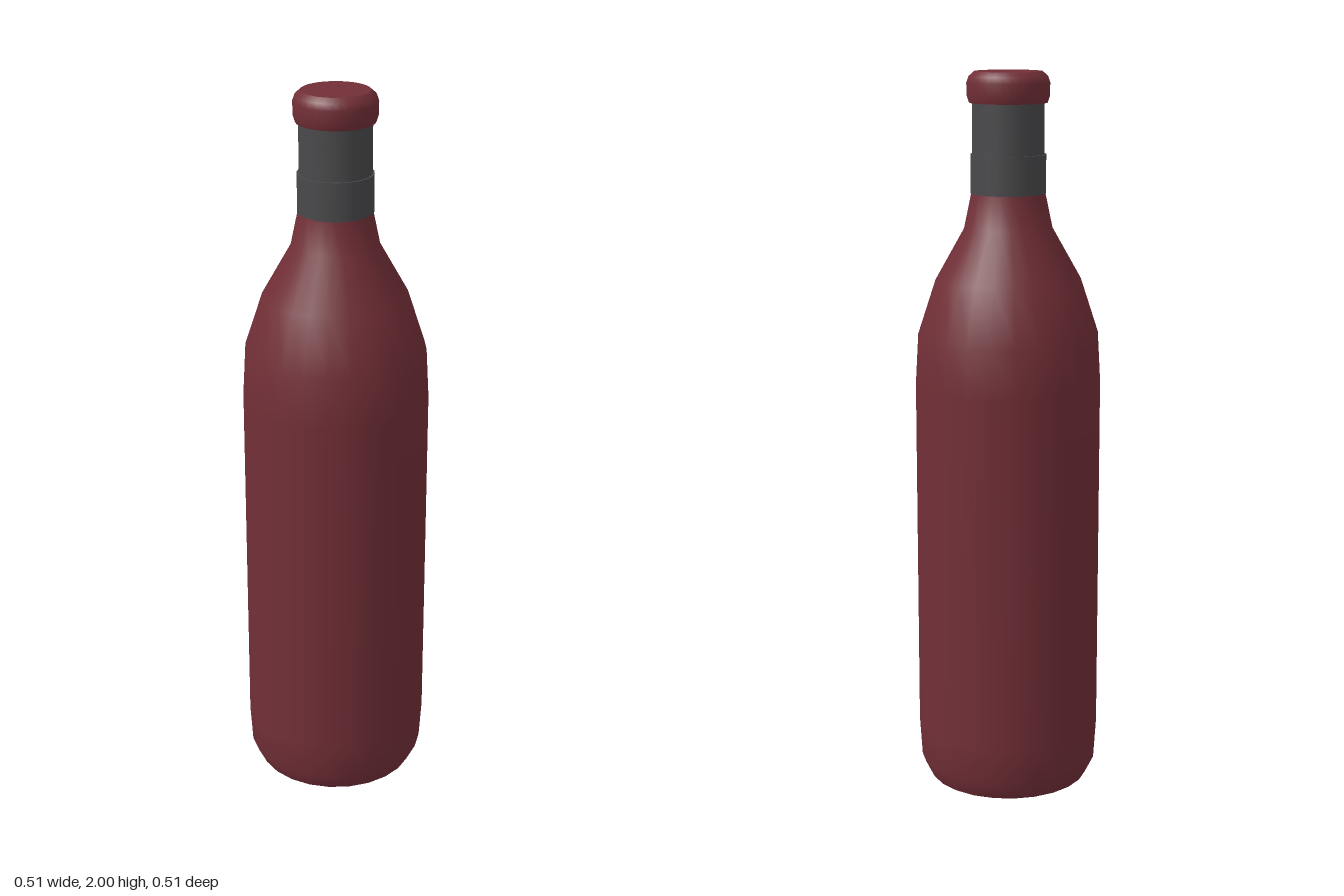
import * as THREE from 'three';

export function createModel() {
  const model = new THREE.Group();
  const wine = new THREE.MeshStandardMaterial({ name: 'wineRed', color: 0x722f37 });
  const grey = new THREE.MeshStandardMaterial({ name: 'foilGrey', color: 0x4a4a4c });

  function add(name, geometry, material) {
    const mesh = new THREE.Mesh(geometry, material);
    mesh.name = name;
    model.add(mesh);
    return mesh;
  }
  // Smooth turned surface; profile runs from bottom to top
  function turned(name, profile, sides, material) {
    const points = profile.map(([r, y]) => new THREE.Vector2(r, y));
    return add(name, new THREE.LatheGeometry(points, sides), material);
  }
  // Flat disc with a hard edge, facing up (1) or down (-1)
  function disc(name, r, y, sides, facing, material) {
    const g = new THREE.CircleGeometry(r, sides).rotateX(-facing * Math.PI / 2);
    return add(name, g.translate(0, y, 0), material);
  }

  // Bottle body: chamfered foot, straight wall, shoulder, neck
  turned('body', [
    [0.225, 0], [0.25, 0.05], [0.257, 0.16], [0.257, 1.15],
    [0.249, 1.29], [0.2, 1.44], [0.121, 1.58], [0.1, 1.68], [0.096, 1.72],
  ], 24, wine);
  disc('base', 0.225, 0, 24, -1, wine);

  // Foil sleeve with a slightly wider lower band
  turned('sleeve', [[0.098, 1.7], [0.098, 1.925]], 32, grey);
  turned('sleeveBand', [[0.103, 1.675], [0.103, 1.78]], 32, grey);
  disc('sleeveBandBottom', 0.103, 1.675, 32, -1, grey);
  disc('sleeveBandTop', 0.103, 1.78, 32, 1, grey);

  // Rounded lip and flat top
  turned('lip', [
    [0.106, 1.917], [0.112, 1.935], [0.113, 1.97], [0.107, 1.987], [0.092, 2],
  ], 32, wine);
  disc('lipBottom', 0.106, 1.917, 32, -1, wine);
  disc('lipTop', 0.092, 2, 32, 1, wine);

  return model;
}
